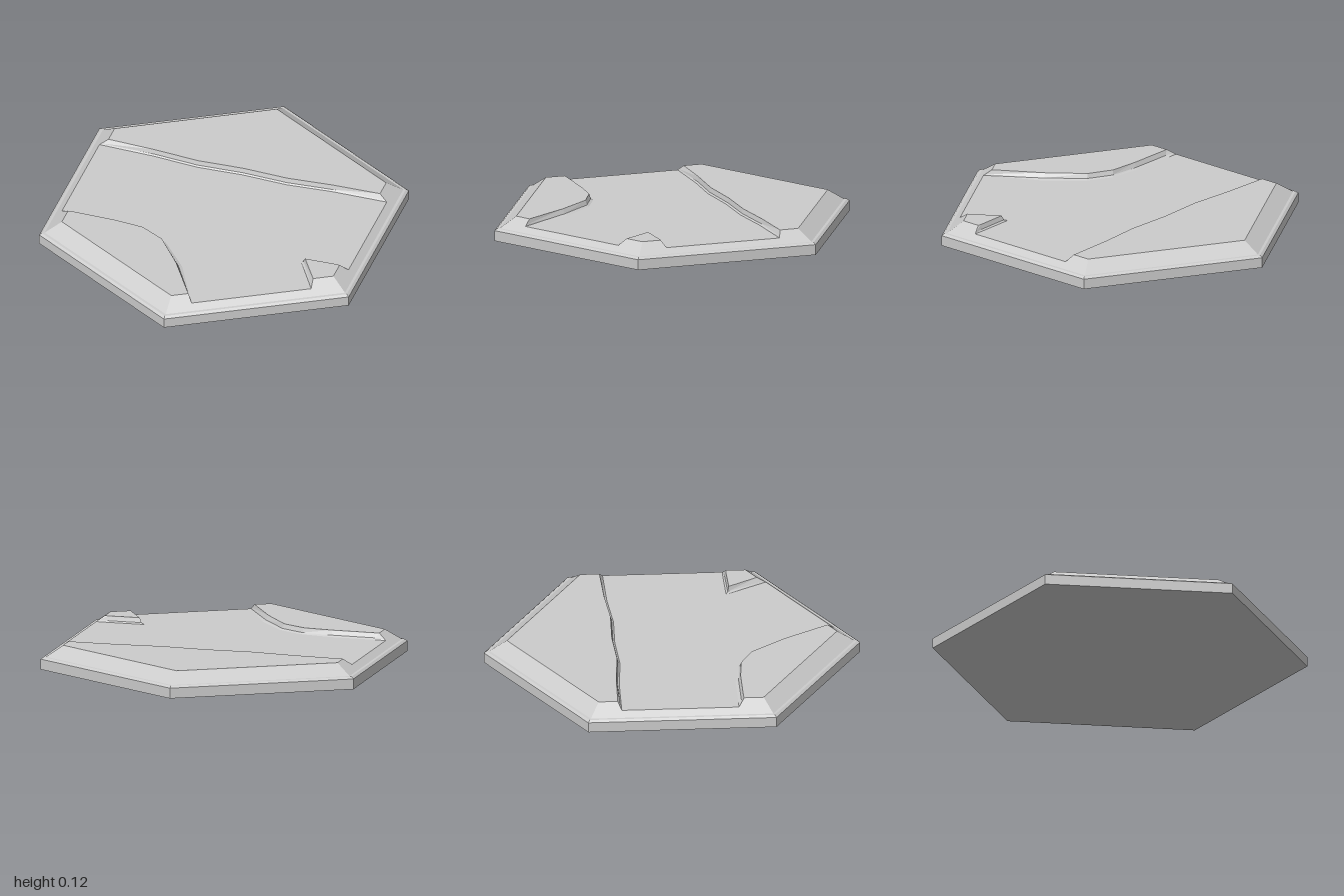
import * as THREE from 'three';

const FLOOR = 0.093, TOP = 0.125;
const material = new THREE.MeshStandardMaterial({ color: 0xcccccc, flatShading: true });

// Radius of the sloping hexagonal rim at a given height
const rimRadius = (y) => 0.97 - (y - 0.067) * 1.6;
const R0 = rimRadius(FLOOR), R1 = rimRadius(TOP);

// Rim points as [floorX, floorZ, topX, topZ]
const corner = (i) => {
  const s = Math.sin(i * Math.PI / 3), c = Math.cos(i * Math.PI / 3);
  return [R0 * s, R0 * c, R1 * s, R1 * c];
};
const onSide = (sign, z0, z1) => [sign * R0 * 0.866, z0, sign * R1 * 0.866, z1];
const onFront = (x0, x1) => [x0, R0 - x0 * 0.577, x1, R1 - x1 * 0.577];

function addMesh(group, name, geometry) {
  const mesh = new THREE.Mesh(geometry, material);
  mesh.name = name;
  group.add(mesh);
}

// Raised slab: bank points have a shallow foot and a steep face, rim points a straight slope
function plateau(bank, rim) {
  const all = [...bank.map((p) => ({ p, bank: true })), ...rim.map((p) => ({ p, bank: false }))];
  const outline = all.map(({ p }) => new THREE.Vector2(p[2], -p[3]));
  if (THREE.ShapeUtils.area(outline) < 0) {
    all.reverse();
    outline.reverse();
  }
  const rings = [[FLOOR, 0], [0.1, 0.6], [TOP, 1]].map(([y, foot]) => all.map((e) => {
    const t = e.bank ? foot : (y - FLOOR) / (TOP - FLOOR);
    const [x0, z0, x1, z1] = e.p;
    return [x0 + (x1 - x0) * t, y, z0 + (z1 - z0) * t];
  }));
  const pos = [], n = all.length;
  for (let r = 0; r < 2; r++) {
    for (let i = 0; i < n; i++) {
      const j = (i + 1) % n;
      const a = rings[r][i], b = rings[r][j], c = rings[r + 1][j], d = rings[r + 1][i];
      pos.push(...a, ...b, ...c, ...a, ...c, ...d);
    }
  }
  for (const face of THREE.ShapeUtils.triangulateShape(outline, [])) {
    for (const k of face) pos.push(...rings[2][k]);
  }
  const g = new THREE.BufferGeometry();
  g.setAttribute('position', new THREE.Float32BufferAttribute(pos, 3));
  g.computeVertexNormals();
  return g;
}

export function createModel() {
  const group = new THREE.Group();
  group.name = 'hexTile';

  // Base slab with a stepped lip, lower rim slope and channel floor
  const profile = [[0, 0], [1, 0], [1, 0.056], [0.985, 0.066], [0.97, 0.067], [R0, FLOOR], [0, FLOOR]]
    .map(([r, y]) => new THREE.Vector2(r, y));
  const base = new THREE.LatheGeometry(profile, 6).toNonIndexed();
  base.computeVertexNormals();
  addMesh(group, 'baseAndChannelFloor', base);

  // Back bank running the full width
  const backBank = [[-0.5, -0.312], [-0.25, -0.292], [0, -0.304], [0.25, -0.295], [0.5, -0.314]]
    .map(([x, z]) => [x, z, x, z - 0.016]);
  addMesh(group, 'backPlateau', plateau(backBank,
    [onSide(1, -0.318, -0.337), corner(2), corner(3), corner(4), onSide(-1, -0.318, -0.337)]));

  // Front bank on the right side, curving out to the front rim
  addMesh(group, 'frontRightPlateau', plateau(
    [[-0.74, 0.305, -0.74, 0.333], [-0.5, 0.305, -0.5, 0.333], [-0.32, 0.33, -0.34, 0.345],
      [-0.19, 0.4, -0.21, 0.412], [-0.04, 0.575, -0.07, 0.59]],
    [onFront(0.11, 0.08), corner(0), corner(5), onSide(-1, 0.305, 0.335)]));

  // Small bank on the left side, between the two channel mouths
  addMesh(group, 'frontLeftPlateau', plateau(
    [[0.74, 0.318, 0.74, 0.333], [0.538, 0.322, 0.568, 0.338]],
    [onFront(0.67, 0.665), corner(1), onSide(1, 0.318, 0.335)]));

  return group;
}
